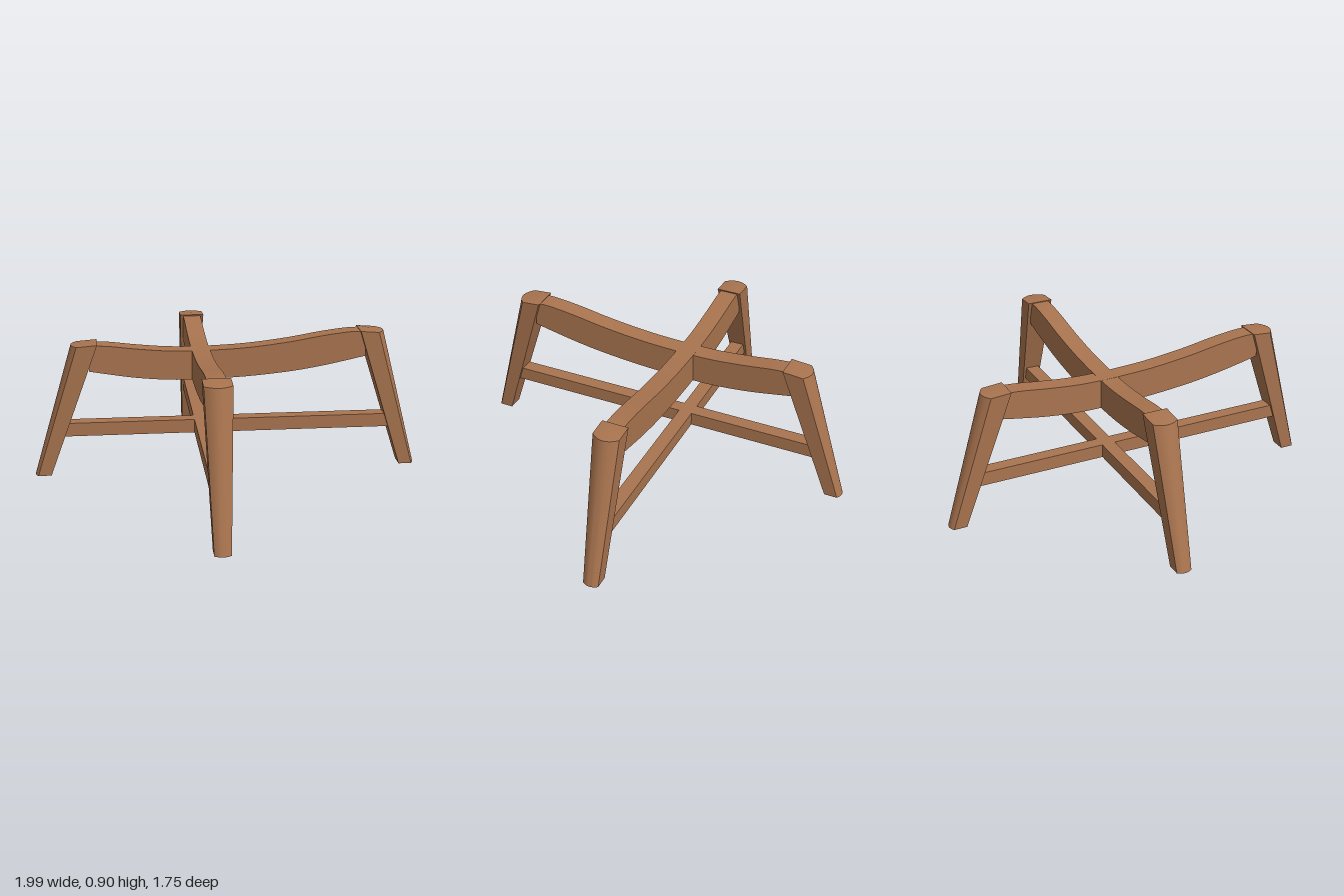
import * as THREE from 'three';
import { toCreasedNormals } from 'three/addons/utils/BufferGeometryUtils.js';

const CENTRE_Z = -0.117; // where the two diagonals cross

// Leg cross-section: flat inner side and flanks, rounded outer side.
function section({ inner, outer, bulge, half, yIn, yOut }) {
  const pts = [[inner, yIn, -half]];
  const steps = 10;
  for (let i = 0; i <= steps; i++) {
    const s = (i / steps) * 2 - 1;
    pts.push([outer + bulge * (1 - s * s), yOut, half * s]);
  }
  pts.push([inner, yIn, half]);
  return pts;
}

// Tapered, splayed leg lofted from foot to top, with a slightly domed top.
function legGeometry(foot, top) {
  const a = section(foot), b = section(top), n = a.length;
  const footMid = [(foot.inner + foot.outer) / 2, 0, 0];
  const topMid = [(top.inner + top.outer) / 2, top.yMid, 0];
  const pos = [];
  for (let i = 0; i < n; i++) {
    const j = (i + 1) % n;
    pos.push(...a[i], ...b[i], ...a[j], ...b[i], ...b[j], ...a[j]);
    pos.push(...topMid, ...b[j], ...b[i]);
    pos.push(...footMid, ...a[i], ...a[j]);
  }
  const g = new THREE.BufferGeometry();
  g.setAttribute('position', new THREE.Float32BufferAttribute(pos, 3));
  return toCreasedNormals(g, 0.55);
}

// Curved top rail, running from the back leg (-x) to the front leg (+x).
function topRailGeometry() {
  const curve = pts => new THREE.SplineCurve(pts.map(p => new THREE.Vector2(...p))).getPoints(36);
  const upper = curve([[-0.69, 0.84], [-0.56, 0.832], [-0.4, 0.812], [-0.2, 0.794], [0, 0.791],
    [0.28, 0.802], [0.55, 0.832], [0.75, 0.865], [0.92, 0.886], [1.03, 0.888]]);
  const lower = curve([[-0.69, 0.676], [-0.56, 0.653], [-0.4, 0.628], [-0.2, 0.61], [0, 0.608],
    [0.28, 0.618], [0.55, 0.642], [0.75, 0.672], [0.92, 0.706], [1.03, 0.73]]);
  const shape = new THREE.Shape([...lower, ...upper.reverse()]);
  const g = new THREE.ExtrudeGeometry(shape, { depth: 0.113, bevelEnabled: false });
  g.translate(0, 0, -0.0565);
  return toCreasedNormals(g, 0.5);
}

export function createModel() {
  const model = new THREE.Group();
  model.name = 'crossFrameBase';
  const wood = new THREE.MeshStandardMaterial({ color: 0xa9744f });
  wood.name = 'warm wood';

  const frontLeg = legGeometry(
    { inner: 1.275, outer: 1.357, bulge: 0.018, half: 0.048, yIn: 0, yOut: 0 },
    { inner: 0.993, outer: 1.108, bulge: 0.04, half: 0.081, yIn: 0.893, yOut: 0.884, yMid: 0.899 });
  const backLeg = legGeometry(
    { inner: 0.945, outer: 1.027, bulge: 0.018, half: 0.047, yIn: 0, yOut: 0 },
    { inner: 0.638, outer: 0.765, bulge: 0.035, half: 0.077, yIn: 0.846, yOut: 0.836, yMid: 0.849 });
  const topRail = topRailGeometry();
  const stretcher = new THREE.BoxGeometry(2.09, 0.085, 0.085).translate(0.165, 0.298, 0);

  const add = (name, geometry, angle) => {
    const mesh = new THREE.Mesh(geometry, wood);
    mesh.name = name;
    mesh.rotation.y = angle;
    mesh.position.z = CENTRE_Z;
    model.add(mesh);
  };

  // Each diagonal: front leg, opposite back leg, top rail and stretcher.
  for (const [front, back, angle] of [['Left', 'Right', -Math.PI / 4], ['Right', 'Left', -3 * Math.PI / 4]]) {
    add('front' + front + 'Leg', frontLeg, angle);
    add('back' + back + 'Leg', backLeg, angle + Math.PI);
    add('topRailFront' + front, topRail, angle);
    add('stretcherFront' + front, stretcher, angle);
  }
  return model;
}
